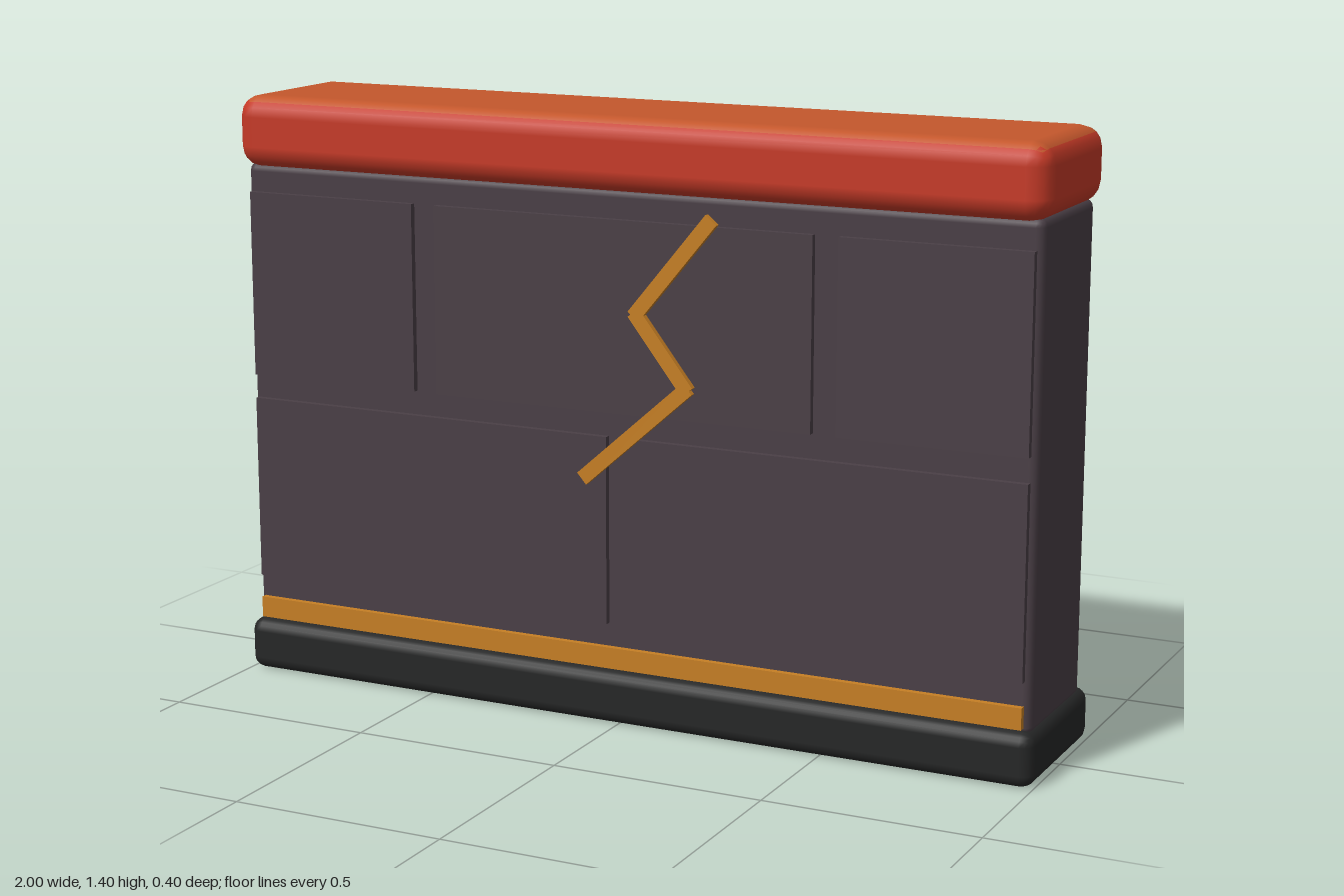
import * as THREE from 'three';
import { RoundedBoxGeometry } from 'three/addons/geometries/RoundedBoxGeometry.js';

const mat = (name, color) => {
  const m = new THREE.MeshStandardMaterial({ color });
  m.name = name;
  return m;
};

// Split a non-indexed geometry into two groups: upward faces (1) and the rest (0)
function groupUpwardFaces(geo, limit) {
  const p = geo.attributes.position;
  const tri = new THREE.Triangle();
  const n = new THREE.Vector3();
  geo.clearGroups();
  let start = 0, current = -1;
  for (let i = 0; i < p.count; i += 3) {
    tri.setFromAttributeAndIndices(p, i, i + 1, i + 2).getNormal(n);
    const id = n.y > limit ? 1 : 0;
    if (id !== current) {
      if (current >= 0) geo.addGroup(start, i - start, current);
      start = i;
      current = id;
    }
  }
  geo.addGroup(start, p.count - start, current);
  return geo;
}

export function createModel() {
  const stone = mat('dark stone', 0x4a3f46);
  const base = mat('black base', 0x262727);
  const red = mat('red cap', 0xc63a27);
  const orange = mat('orange cap top', 0xc4572c);
  const gold = mat('gold', 0xc67f24);

  const wall = new THREE.Group();
  wall.name = 'wall';

  const add = (parent, name, geo, material, x, y, z) => {
    const mesh = new THREE.Mesh(geo, material);
    mesh.name = name;
    mesh.position.set(x, y, z);
    parent.add(mesh);
    return mesh;
  };

  // Core, footing and cap
  add(wall, 'wallCore', new RoundedBoxGeometry(1.97, 1.13, 0.34, 2, 0.02), stone, 0, 0.675, 0);
  add(wall, 'footing', new RoundedBoxGeometry(2, 0.125, 0.4, 2, 0.03), base, 0, 0.0625, 0);
  const capGeo = groupUpwardFaces(new RoundedBoxGeometry(2, 0.17, 0.4, 2, 0.05), 0.72);
  add(wall, 'cap', capGeo, [red, orange], 0, 1.315, 0);

  // Bricks: [left edge, right edge, centre height]
  const bricks = [
    [-0.97, -0.53, 0.952], [-0.47, 0.47, 0.952], [0.53, 0.97, 0.952],
    [-0.97, -0.03, 0.455], [0.03, 0.97, 0.455],
  ];
  const crack = [[0.232, 1.185], [0.05, 0.965], [0.175, 0.805], [-0.08, 0.58]];

  // The same facing on both sides, with the crack shifted on the back
  for (const [name, turn, shift] of [['frontFace', 0, 0], ['backFace', Math.PI, 0.35]]) {
    const face = new THREE.Group();
    face.name = name;
    face.rotation.y = turn;
    wall.add(face);

    for (const [x0, x1, y] of bricks) {
      add(face, 'brick', new THREE.BoxGeometry(x1 - x0, 0.44, 0.03), stone, (x0 + x1) / 2, y, 0.17);
    }
    add(face, 'goldTrim', new THREE.BoxGeometry(1.94, 0.05, 0.02), gold, 0, 0.155, 0.175);

    // Zigzag glowing crack
    for (let i = 0; i < crack.length - 1; i++) {
      const [ax, ay] = crack[i];
      const [bx, by] = crack[i + 1];
      const length = Math.hypot(bx - ax, by - ay) + 0.012;
      const seg = add(face, 'crackSegment', new THREE.BoxGeometry(length, 0.034, 0.014), gold,
        (ax + bx) / 2 + shift, (ay + by) / 2, 0.193);
      seg.rotation.z = Math.atan2(by - ay, bx - ax);
    }
  }
  return wall;
}
